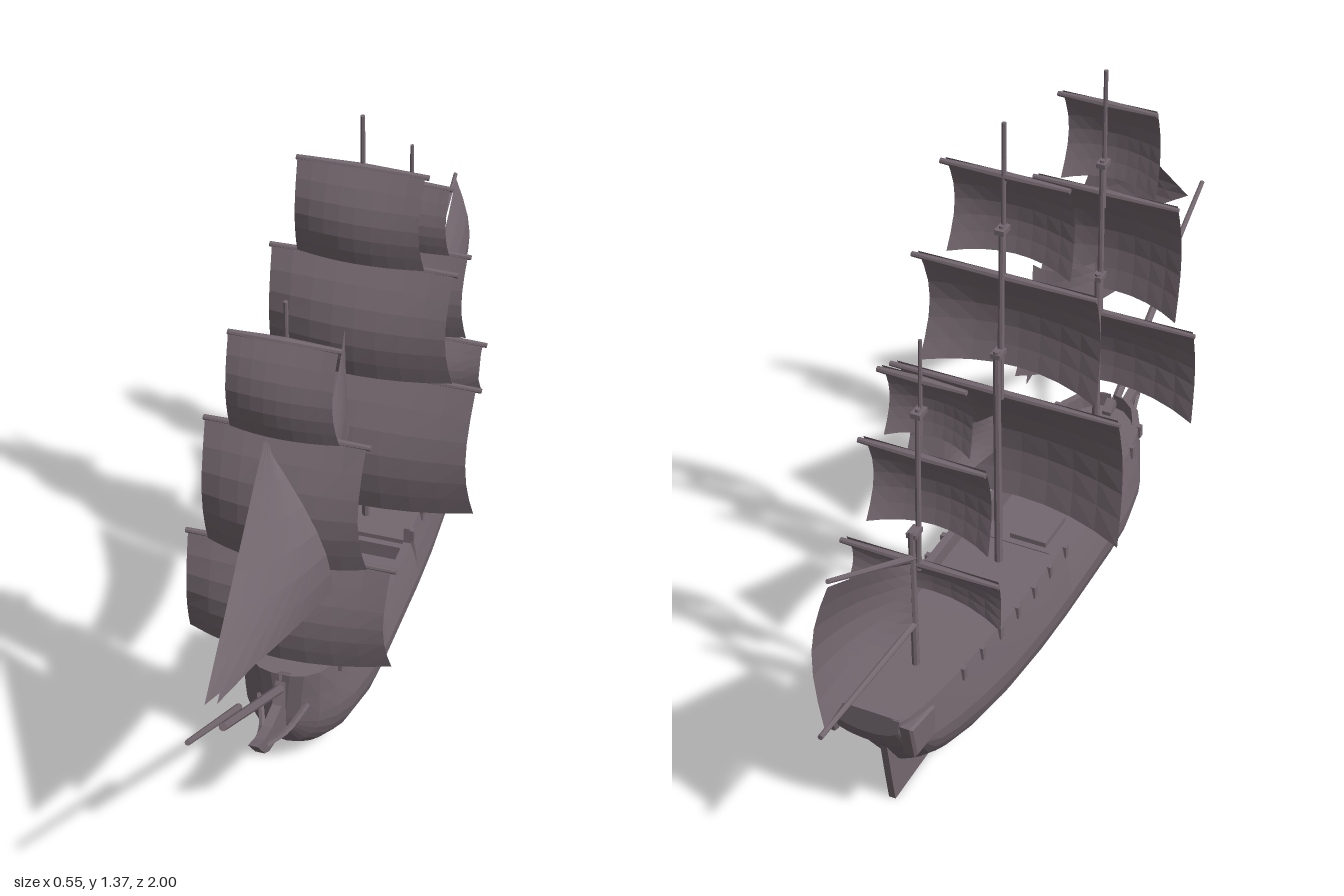
import * as THREE from 'three';

const COLOR = 0x74686f;
const solid = new THREE.MeshStandardMaterial({ color: COLOR, flatShading: true });
const cloth = new THREE.MeshStandardMaterial({ color: COLOR, flatShading: true, side: THREE.DoubleSide });
const V = (x, y, z) => new THREE.Vector3(x, y, z);

function add(parent, name, geometry, material = solid) {
  const mesh = new THREE.Mesh(geometry, material);
  mesh.name = name;
  parent.add(mesh);
  return mesh;
}

// Surface from rows of points, all rows the same length
function loft(rows) {
  const n = rows[0].length, pos = [], idx = [];
  rows.forEach(r => r.forEach(p => pos.push(p.x, p.y, p.z)));
  for (let i = 0; i < rows.length - 1; i++) for (let j = 0; j < n - 1; j++) {
    const a = i * n + j, b = a + 1, c = a + n, d = c + 1;
    idx.push(a, c, b, b, c, d);
  }
  const g = new THREE.BufferGeometry();
  g.setAttribute('position', new THREE.Float32BufferAttribute(pos, 3));
  g.setIndex(idx);
  g.computeVertexNormals();
  return g;
}

// Sail cloth of 8 by 6 panels from a rule f(across, down)
function panels(f) {
  const rows = [];
  for (let i = 0; i <= 6; i++) {
    const row = [];
    for (let j = 0; j <= 8; j++) row.push(f(j / 8, i / 6));
    rows.push(row);
  }
  return loft(rows);
}

// Round spar between two points
function spar(parent, name, a, b, r0, r1) {
  const d = b.clone().sub(a);
  const m = add(parent, name, new THREE.CylinderGeometry(r1, r0, d.length(), 8));
  m.position.copy(a).addScaledVector(d, 0.5);
  m.quaternion.setFromUnitVectors(V(0, 1, 0), d.normalize());
}

function box(parent, name, w, h, d, x, y, z) {
  add(parent, name, new THREE.BoxGeometry(w, h, d)).position.set(x, y, z);
}

// Square sail hanging from its yard, bellied towards the bow
function squareSail(parent, [w, top, bottom, z, belly]) {
  const h = top - bottom;
  add(parent, 'squareSail', panels((u, t) => {
    const s = u * 2 - 1;
    return V(s * w * (0.96 - 0.03 * Math.sin(Math.PI * t) + 0.02 * t),
      top - h * t + 0.012 * t * (1 - s * s),
      z + 0.012 + 0.14 * h * Math.sin(Math.PI * t) + belly * t * (1 - s * s));
  }), cloth);
  for (const s of [-1, 1]) spar(parent, 'yard', V(0, top - 0.003, z), V(s * w, top - 0.003, z), 0.01, 0.006);
}

// Fore-and-aft sail: four corners, sideways belly, sag of the head and of the after edge
function staySail(parent, name, [headFore, headAft, footFore, footAft], belly, headSag, leechSag, leechBelly = 0) {
  add(parent, name, panels((u, t) => {
    const p = headFore.clone().lerp(headAft, u).lerp(footFore.clone().lerp(footAft, u), t);
    const su = Math.sin(Math.PI * u), st = Math.sin(Math.PI * t);
    p.x += belly * su * (0.5 + 0.5 * st) + leechBelly * u * st;
    p.y += headSag * su * (1 - t);
    p.z += leechSag * u * st;
    return p;
  }), cloth);
}

// Flat plate drawn in the (z, y) plane
function plate(parent, name, points, thickness) {
  const shape = new THREE.Shape(points.map(([z, y]) => new THREE.Vector2(-z, y)));
  const g = new THREE.ExtrudeGeometry(shape, { depth: thickness, bevelEnabled: false });
  g.translate(0, 0, -thickness / 2);
  g.rotateY(Math.PI / 2);
  add(parent, name, g, cloth);
}

// Hull stations: z, half beam, fineness, keel height
const stations = [
  [0.448, 0.012, 1, 0.17], [0.44, 0.04, 1, 0.13], [0.415, 0.077, 1.1, 0.08], [0.375, 0.107, 1.1, 0.043],
  [0.32, 0.13, 1.05, 0.017], [0.22, 0.147, 1, 0.004], [0.131, 0.151, 1, 0.002], [0.129, 0.151, 1, 0.002],
  [-0.119, 0.152, 1, 0.002], [-0.121, 0.152, 1, 0.002], [-0.25, 0.15, 1.05, 0.002], [-0.4, 0.144, 1.2, 0.005],
  [-0.53, 0.134, 1.4, 0.018], [-0.63, 0.124, 1.5, 0.05], [-0.7, 0.115, 1.4, 0.1], [-0.755, 0.105, 1.1, 0.185],
  [-0.8, 0.092, 1, 0.235], [-0.822, 0.078, 1, 0.28],
];
// The rail narrows with the beam, rises to bow and stern and drops at the waist
const railWidth = beam => 0.129 * (beam / 0.151) ** 0.7;
const inWaist = z => z < 0.13 && z > -0.12;
const railHeight = z => inWaist(z) ? 0.258 : 0.297 + (z > 0 ? 0.05 * z * z : 0.058 * z * z);

// Section from keel, round the bilge, over the rail and across the deck
function section([z, beam, fine, keel]) {
  const wide = Math.max(0.17 + 0.17 * Math.abs(z) ** 3, keel + 0.03);
  const rail = railWidth(beam), top = railHeight(z), deck = inWaist(z) ? 0.2 : top - 0.036;
  const half = [];
  for (let i = 0; i <= 7; i++) {
    const a = i / 7 * Math.PI / 2;
    half.push(V(beam * Math.sin(a) ** fine, keel + (wide - keel) * (1 - Math.cos(a)), z));
  }
  half.push(V(beam * 0.6 + rail * 0.4, wide + (top - wide) * 0.45, z), V(rail, top, z));
  const inner = Math.max(rail - 0.018, 0.002);
  half.push(V(inner, top, z), V(inner, deck, z), V(0, deck, z));
  const other = half.slice(1, -1).reverse().map(p => V(-p.x, p.y, p.z));
  return [...half, ...other, half[0].clone()];
}

function buildHull(ship) {
  const hull = new THREE.Group();
  hull.name = 'hull';
  ship.add(hull);
  const rows = stations.map(section);
  const close = row => row.map(p => V(0, (row[0].y + row[9].y) / 2, p.z));
  add(hull, 'hullShell', loft([close(rows[0]), ...rows, close(rows[rows.length - 1])]), cloth);

  plate(hull, 'keelAndRudder', [[0.3, 0.02], [0.26, 0], [-0.72, 0], [-0.732, 0.07], [-0.752, 0.2],
    [-0.7, 0.15], [-0.6, 0.08], [-0.4, 0.03]], 0.016);
  plate(hull, 'beakhead', [[0.42, 0.1], [0.445, 0.145], [0.5, 0.17], [0.56, 0.185], [0.59, 0.205], [0.632, 0.262],
    [0.59, 0.245], [0.54, 0.235], [0.475, 0.24], [0.44, 0.3], [0.41, 0.28]], 0.022);

  for (const s of [-1, 1]) {
    // Head rails sweeping from the bow to the beak
    const curve = new THREE.CatmullRomCurve3([V(s * 0.055, 0.22, 0.43), V(s * 0.03, 0.19, 0.49), V(s * 0.01, 0.22, 0.58)]);
    add(hull, 'headRail', new THREE.TubeGeometry(curve, 6, 0.007, 5));

    // Quarter gallery at the stern
    const shape = new THREE.Shape([[0.715, 0.235], [0.8, 0.24], [0.818, 0.32], [0.722, 0.305]]
      .map(p => new THREE.Vector2(...p)));
    const g = new THREE.ExtrudeGeometry(shape, { depth: 0.022, bevelSize: 0.006, bevelThickness: 0.006, bevelSegments: 1 });
    g.rotateY(Math.PI / 2);
    add(hull, 'quarterGallery', g).position.x = s > 0 ? 0.082 : -0.104;

    // Timbers outside the bulwarks
    for (let i = 0; i < 13; i++) {
      const z = 0.36 - i * 0.08;
      if (inWaist(z)) continue;
      const k = stations.findIndex(r => r[0] <= z), a = stations[k - 1], b = stations[k];
      const beam = THREE.MathUtils.mapLinear(z, a[0], b[0], a[1], b[1]);
      box(hull, 'railTimber', 0.01, 0.03, 0.014, s * (railWidth(beam) + 0.003), railHeight(z) - 0.013, z);
    }
  }
  box(hull, 'sternRail', 0.16, 0.04, 0.014, 0, 0.317, -0.812);
  for (const z of [0.115, -0.105]) box(hull, 'waistBeam', 0.25, 0.014, 0.016, 0, 0.25, z);
  box(hull, 'hatch', 0.09, 0.016, 0.11, 0, 0.206, 0.02);
}

// A mast: spars as [z0, y0, z1, y1, radius], sails as [half width, top, bottom, z, belly]
function buildMast(ship, name, spars, sails) {
  const mast = new THREE.Group();
  mast.name = name;
  ship.add(mast);
  spars.forEach(([z0, y0, z1, y1, r]) => spar(mast, 'mastSection', V(0, y0, z0), V(0, y1, z1), r, r * 0.85));
  spars.slice(0, 2).forEach(([, , z, y], i) =>
    box(mast, 'mastCap', 0.022, 0.012, 0.034, 0, y - 0.012, (z + spars[i + 1][0]) / 2));
  sails.forEach(s => squareSail(mast, s));
}

export function createModel() {
  const ship = new THREE.Group();
  ship.name = 'sailingShip';
  buildHull(ship);

  buildMast(ship, 'foreMast',
    [[0.348, 0.22, 0.348, 0.716, 0.01], [0.36, 0.6, 0.362, 1.01, 0.008], [0.371, 0.88, 0.373, 1.23, 0.006]],
    [[0.235, 0.595, 0.335, 0.37, 0.06], [0.18, 0.915, 0.6, 0.38, 0.05], [0.12, 1.143, 0.915, 0.383, 0.03]]);
  buildMast(ship, 'mainMast',
    [[-0.188, 0.2, -0.188, 0.835, 0.01], [-0.171, 0.7, -0.157, 1.13, 0.008], [-0.153, 1, -0.143, 1.365, 0.006]],
    [[0.275, 0.705, 0.36, -0.158, 0.062], [0.215, 1.003, 0.72, -0.153, 0.05], [0.147, 1.243, 1.013, -0.142, 0.035]]);
  buildMast(ship, 'mizzenMast',
    [[-0.593, 0.22, -0.593, 0.64, 0.009], [-0.567, 0.52, -0.548, 0.92, 0.007], [-0.541, 0.83, -0.53, 1.075, 0.005]],
    [[0.185, 0.537, 0.405, -0.565, 0.045], [0.145, 0.795, 0.572, -0.54, 0.036], [0.1, 0.978, 0.803, -0.528, 0.025]]);

  // Bowsprit, boom and gaff
  spar(ship, 'bowsprit', V(0, 0.255, 0.43), V(0, 0.475, 0.805), 0.011, 0.009);
  spar(ship, 'jibBoom', V(0, 0.445, 0.71), V(0, 0.608, 0.997), 0.008, 0.006);
  spar(ship, 'gaff', V(0, 0.568, -0.59), V(0, 0.765, -0.935), 0.008, 0.005);
  spar(ship, 'boom', V(0, 0.392, -0.59), V(0, 0.413, -0.999), 0.008, 0.006);

  // Fore-and-aft sails
  staySail(ship, 'spanker', [V(0, 0.56, -0.602), V(0, 0.752, -0.937), V(0, 0.398, -0.602), V(0, 0.418, -0.98)],
    0.02, 0, 0.008, 0.037);
  staySail(ship, 'mainStaysail', [V(0, 0.755, 0.328), V(0.01, 0.93, 0.015), V(0, 0.612, 0.328), V(0.01, 0.635, -0.02)],
    0.035, -0.025, 0.006);
  staySail(ship, 'mizzenStaysail', [V(0, 0.678, -0.208), V(0.005, 0.795, -0.422), V(0, 0.58, -0.208), V(0.005, 0.595, -0.45)],
    0.022, -0.018, 0.004);
  const jibHead = V(0, 0.99, 0.52), staysailHead = V(-0.02, 0.835, 0.455);
  staySail(ship, 'jib', [jibHead, jibHead, V(0, 0.62, 0.9), V(0.15, 0.66, 0.54)], 0.02, 0, 0.035, 0.05);
  staySail(ship, 'foreStaysail', [staysailHead, staysailHead, V(-0.02, 0.51, 0.78), V(0.07, 0.538, 0.45)], 0.01, 0, 0.03, 0.02);
  return ship;
}
